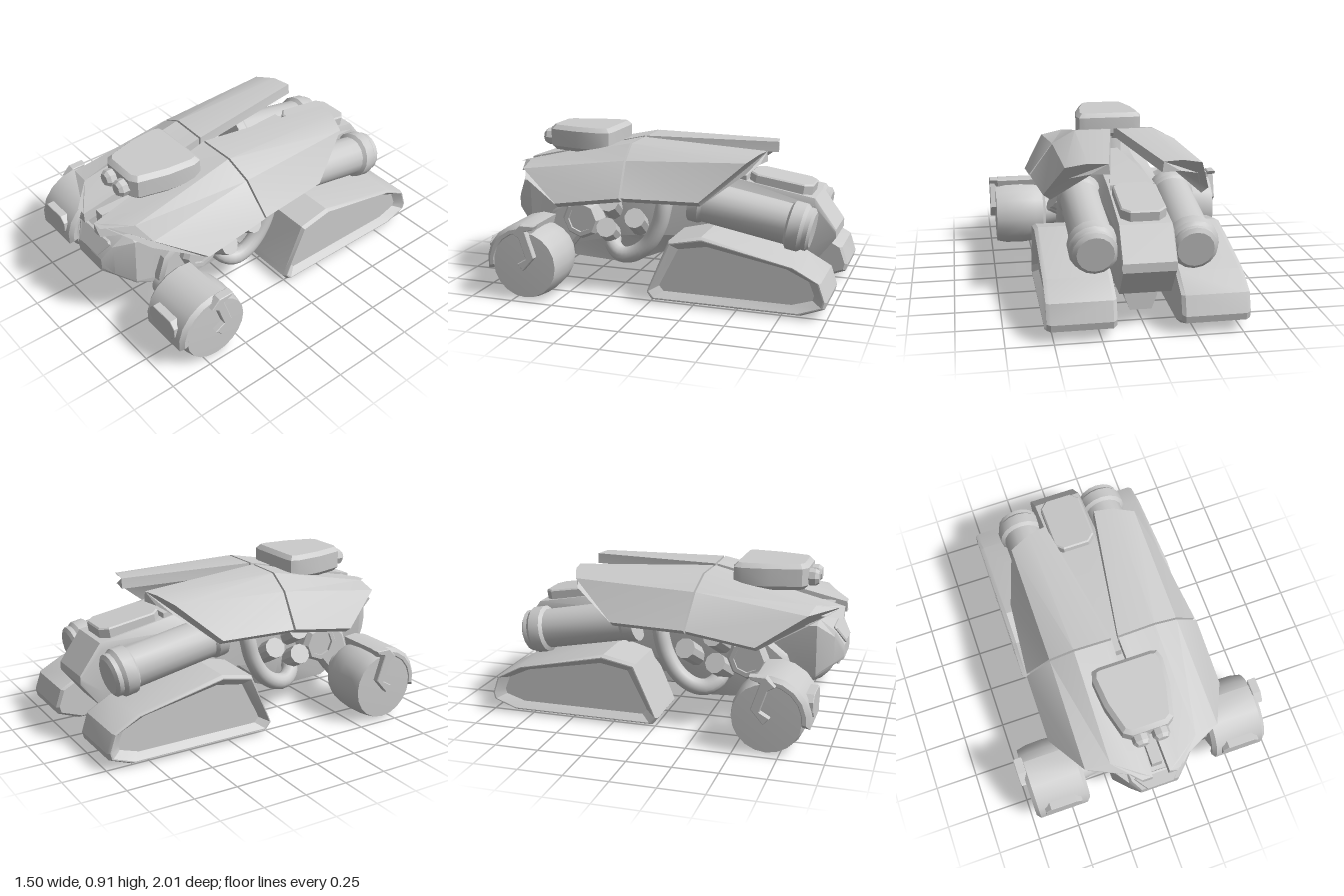
import * as THREE from 'three';
import { toCreasedNormals } from 'three/addons/utils/BufferGeometryUtils.js';

const V = (x, y, z) => new THREE.Vector3(x, y, z);

// Non-indexed copy of a closed solid whose faces point outwards, with creased normals
function finish(geometry) {
  const g = geometry.index ? geometry.toNonIndexed() : geometry.clone();
  const p = g.attributes.position;
  const a = V(), b = V(), c = V();
  let volume = 0;
  for (let i = 0; i < p.count; i += 3) {
    a.fromBufferAttribute(p, i);
    b.fromBufferAttribute(p, i + 1);
    c.fromBufferAttribute(p, i + 2);
    volume += a.dot(b.cross(c));
  }
  if (volume < 0) {
    for (let i = 0; i < p.count; i += 3) {
      b.fromBufferAttribute(p, i + 1);
      c.fromBufferAttribute(p, i + 2);
      p.setXYZ(i + 1, c.x, c.y, c.z);
      p.setXYZ(i + 2, b.x, b.y, b.z);
    }
  }
  return toCreasedNormals(g, 0.42);
}

// Closed skin through rings of equal point count
function loft(rings) {
  const n = rings[0].length, index = [];
  for (let r = 0; r < rings.length - 1; r++) {
    for (let i = 0; i < n; i++) {
      const j = (i + 1) % n, a = r * n, b = a + n;
      index.push(a + i, b + i, b + j, a + i, b + j, a + j);
    }
  }
  const last = (rings.length - 1) * n;
  for (let i = 1; i < n - 1; i++) {
    index.push(0, i, i + 1, last, last + i + 1, last + i);
  }
  const g = new THREE.BufferGeometry();
  g.setAttribute('position', new THREE.Float32BufferAttribute(rings.flat(2), 3));
  g.setIndex(index);
  return g;
}

const outline = (pts) => pts.map(([x, y]) => new THREE.Vector2(x, y));

function slab(pts, depth, bevel = 0) {
  return new THREE.ExtrudeGeometry(new THREE.Shape(outline(pts)), {
    depth: depth - 2 * bevel, bevelEnabled: bevel > 0, bevelThickness: bevel,
    bevelSize: bevel, bevelOffset: -bevel, bevelSegments: 1,
  }).translate(0, 0, bevel);
}

// Side profile given as [z, y], extruded from x0 to x1
function sideSlab(pts, x0, x1, bevel) {
  return slab(pts.map(([z, y]) => [-z, y]), x1 - x0, bevel).rotateY(Math.PI / 2).translate(x0, 0, 0);
}

// Octagon with cut corners
function octagon(w, h, c) {
  return [[-w, -h + c], [-w + c, -h], [w - c, -h], [w, -h + c], [w, h - c], [w - c, h], [-w + c, h], [-w, h - c]];
}

// Turned profile [radius, distance] running from one point towards another
function turned(profile, from, to, sides) {
  const g = new THREE.LatheGeometry(outline(profile), sides);
  g.applyQuaternion(new THREE.Quaternion().setFromUnitVectors(V(0, 1, 0), to.clone().sub(from).normalize()));
  return g.translate(from.x, from.y, from.z);
}

function rod(from, to, r0, r1, sides) {
  const len = from.distanceTo(to);
  return turned([[0, 0], [r0, 0], [r1, len], [0, len]], from, to, sides);
}

// Bent pipe with closed ends
function pipe(points, radius, steps, sides) {
  const p = new THREE.TubeGeometry(new THREE.CatmullRomCurve3(points), steps, radius, sides).attributes.position;
  const rings = [];
  for (let r = 0; r <= steps; r++) {
    const ring = [];
    for (let i = 0; i < sides; i++) {
      const k = r * (sides + 1) + i;
      ring.push([p.getX(k), p.getY(k), p.getZ(k)]);
    }
    rings.push(ring);
  }
  return loft(rings);
}

// Armour plate: two rows of corners, thinner towards the outer rim
function plate(front, back) {
  const under = ([x, y, z], i, row) => (i === row.length - 1 ? [x - 0.042, y - 0.03, z] : [x * 0.95, y - 0.06, z]);
  const ring = (row) => [...row, ...row.map(under).reverse()];
  return loft([ring(front), ring(back)]);
}

export function createModel() {
  const model = new THREE.Group();
  const material = new THREE.MeshStandardMaterial({ color: 0xcccccc });
  const add = (name, geometry) => {
    const mesh = new THREE.Mesh(finish(geometry), material);
    mesh.name = name;
    model.add(mesh);
  };
  const pair = (name, geometry) => {
    add(name + 'Left', geometry);
    add(name + 'Right', geometry.clone().scale(-1, 1, 1));
  };

  // Hull: z, top width/height, side width/upper, lower width/height, bottom width/height
  const hull = [
    [1.0, 0.11, 0.46, 0.115, 0.44, 0.115, 0.4, 0.11, 0.38],
    [0.95, 0.155, 0.55, 0.17, 0.52, 0.165, 0.365, 0.155, 0.352],
    [0.86, 0.17, 0.62, 0.25, 0.6, 0.237, 0.31, 0.23, 0.295],
    [0.58, 0.16, 0.63, 0.26, 0.58, 0.24, 0.22, 0.235, 0.145],
    [0.25, 0.14, 0.64, 0.26, 0.55, 0.25, 0.3, 0.2, 0.115],
    [-0.02, 0.12, 0.68, 0.24, 0.55, 0.24, 0.32, 0.17, 0.22],
    [-0.4, 0.13, 0.66, 0.17, 0.58, 0.17, 0.33, 0.14, 0.2],
    [-0.85, 0.14, 0.58, 0.15, 0.54, 0.15, 0.3, 0.14, 0.2],
    [-0.975, 0.14, 0.41, 0.145, 0.4, 0.145, 0.38, 0.14, 0.36],
  ].map(([z, wt, yt, w1, y1, w2, y2, wb, yb]) => {
    const half = [[wt, yt, z], [w1, y1, z], [w2, y2, z], [wb, yb, z]];
    return [...half, ...half.map(([x, y]) => [-x, y, z]).reverse()];
  });
  add('hull', loft(hull));
  add('nosePanel', slab([[-0.08, -0.06], [0.08, -0.06], [0.14, 0.045], [0.125, 0.06], [-0.125, 0.06], [-0.14, 0.045]], 0.02, 0.008)
    .rotateX(-0.55).translate(0, 0.515, 0.963));
  add('spine', loft([[0.25, 0.03, 0.72], [-0.1, 0.075, 0.71], [-0.45, 0.125, 0.68]].map(([z, w, y]) =>
    [[w, y, z], [w, 0.58, z], [-w, 0.58, z], [-w, y, z]])));
  add('rearKeel', slab([[-0.06, 0.05], [0.06, 0.05], [0.09, 0.13], [0.1, 0.25], [-0.1, 0.25], [-0.09, 0.13]], 0.38).translate(0, 0, -0.72));
  add('rearAxle', rod(V(-0.25, 0.2, -0.45), V(0.25, 0.2, -0.45), 0.09, 0.09, 16));
  add('rearHatch', slab(octagon(0.122, 0.185, 0.045), 0.08, 0.008).rotateX(-Math.PI / 2 - 0.155).translate(0, 0.592, -0.635));

  // Armour shell
  pair('frontArmour', plate(
    [[0.05, 0.67, 0.985], [0.11, 0.67, 0.985], [0.25, 0.715, 0.85], [0.39, 0.69, 0.83], [0.525, 0.53, 0.57]],
    [[0.02, 0.85, 0.22], [0.06, 0.85, 0.22], [0.24, 0.85, 0.215], [0.38, 0.775, 0.2], [0.525, 0.59, 0.18]]));
  pair('rearArmour', plate(
    [[0.02, 0.85, 0.208], [0.24, 0.85, 0.203], [0.38, 0.775, 0.188], [0.52, 0.59, 0.168]],
    [[0.15, 0.835, -0.575], [0.26, 0.835, -0.555], [0.38, 0.805, -0.51], [0.48, 0.59, -0.27]]));

  // Sensor head
  const headHalf = [[0.1, 0.78], [0.145, 0.75], [0.19, 0.58], [0.205, 0.42], [0.19, 0.37], [0.15, 0.36]];
  const headShape = [...headHalf, ...headHalf.map(([x, z]) => [-x, z]).reverse()];
  add('head', slab(headShape.map(([x, z]) => [x, -z]), 0.15, 0.025).rotateX(-Math.PI / 2).translate(0, 0.763, 0));
  add('neck', rod(V(0, 0.62, 0.55), V(0, 0.78, 0.55), 0.1, 0.1, 16));
  pair('eye', turned([[0, 0], [0.05, 0], [0.05, 0.08], [0.035, 0.1], [0, 0.1]], V(0.057, 0.828, 0.735), V(0.057, 0.828, 1), 8));
  add('noseStrut', new THREE.BoxGeometry(0.06, 0.08, 0.2).translate(0, 0.64, 0.82));

  // Front wheels, fenders, lamps and straps
  pair('frontWheel', turned([[0, 0], [0.13, 0], [0.18, 0.02], [0.198, 0.07], [0.206, 0.16], [0.203, 0.26], [0.19, 0.32], [0, 0.325]],
    V(0.395, 0.21, 0.68), V(1, 0.21, 0.68), 20));
  const fender = [];
  for (const [r, dir] of [[0.235, 1], [0.17, -1]]) {
    for (let i = 0; i <= 6; i++) {
      const t = (-10 + 115 * (dir > 0 ? i : 6 - i) / 6) * Math.PI / 180;
      fender.push([0.68 + r * Math.cos(t), 0.21 + r * Math.sin(t)]);
    }
  }
  pair('frontFender', sideSlab(fender, 0.387, 0.72, 0.022));
  pair('headlamp', slab(octagon(0.112, 0.063, 0.035), 0.055, 0.003).translate(0.552, 0.277, 0.863));
  pair('fenderStrap', sideSlab([[0.73, 0.4], [0.68, 0.45], [0.59, 0.45], [0.6, 0.43], [0.65, 0.415], [0.6, 0.267],
    [0.67, 0.187], [0.705, 0.225], [0.65, 0.257], [0.69, 0.375]], 0.7, 0.752, 0.004));
  pair('frontAxle', rod(V(0.235, 0.21, 0.68), V(0.42, 0.21, 0.68), 0.08, 0.11, 16));
  pair('suspensionHousing', turned([[0, 0], [0.12, 0], [0.12, 0.13], [0.1, 0.16], [0.075, 0.16], [0.075, 0.145], [0, 0.145]],
    V(0.2, 0.4, 0.49), V(1, 0.4, 0.49), 8));
  pair('suspensionBlock', sideSlab([[0.74, 0.3], [0.7, 0.42], [0.6, 0.5], [0.46, 0.5], [0.42, 0.4], [0.6, 0.18], [0.74, 0.18]], 0.2, 0.3, 0.02));

  // Engine pistons and bent pipe
  for (const [y, z] of [[0.375, 0.315], [0.445, 0.14], [0.53, 0.3]]) {
    pair('piston', rod(V(0.22, y - 0.09, z + 0.025), V(0.38, y, z), 0.06, 0.06, 10));
  }
  pair('bentPipe', pipe([V(0.25, 0.64, -0.05), V(0.32, 0.54, -0.025), V(0.33, 0.4, 0.01), V(0.33, 0.28, 0.08),
    V(0.33, 0.215, 0.17), V(0.32, 0.205, 0.25), V(0.28, 0.25, 0.315), V(0.2, 0.32, 0.325)], 0.048, 28, 16));

  // Exhaust barrels
  pair('exhaust', turned([[0, 0], [0.13, 0], [0.13, 0.06], [0.117, 0.08], [0.117, 0.56], [0.138, 0.575], [0.138, 0.64],
    [0.122, 0.66], [0.122, 0.685], [0.1, 0.7], [0, 0.7]], V(0.265, 0.56, -0.18), V(0.265, 0.43, -0.87), 16));

  // Rear track pods with a dished outer face
  const pod = [[0.02, 0.06], [0.005, 0.1], [-0.11, 0.37], [-0.3, 0.41], [-0.82, 0.295], [-0.965, 0.215],
    [-1.0, 0.11], [-0.99, 0.07], [-0.86, 0.02], [-0.01, 0.02]];
  const podRing = ([x, sz, sy]) => pod.map(([z, y]) => [x, 0.2 + (y - 0.2) * sy, -0.48 + (z + 0.48) * sz]);
  pair('trackPod', loft([[0.17, 0.97, 0.92], [0.19, 1, 1], [0.515, 1, 1], [0.537, 0.98, 0.94],
    [0.537, 0.965, 0.91], [0.5, 0.86, 0.72]].map(podRing)));

  return model;
}
